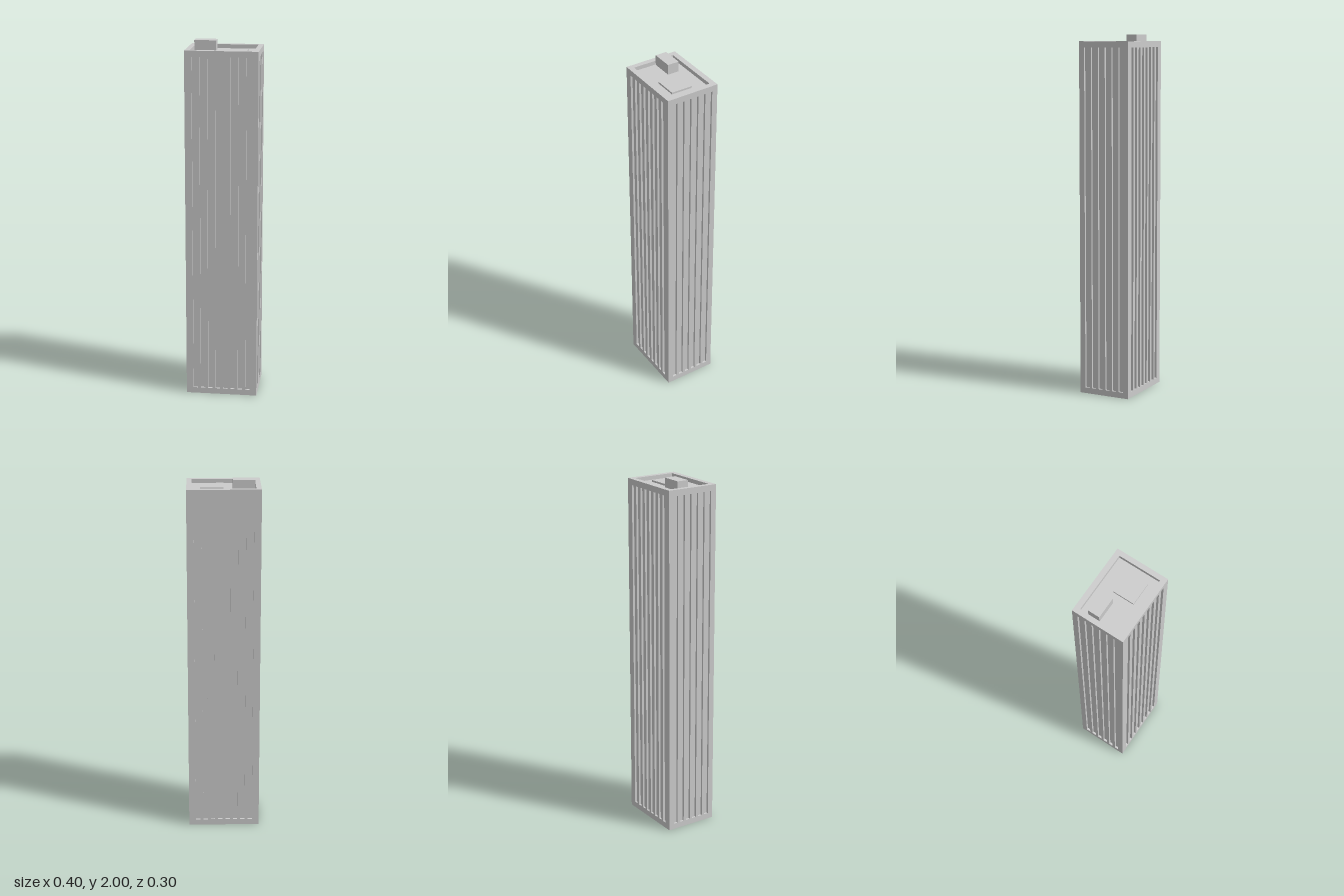
import * as THREE from 'three';

const W = 0.4, D = 0.3;            // footprint
const TOP = 1.965, ROOF = 1.943;   // parapet top and sunken roof level
const DEPTH = 0.012;               // groove depth
const PITCH = 0.0424, GROOVE = 0.0255, MARGIN_Y = 0.033;

const material = new THREE.MeshStandardMaterial({ color: 0xcccccc, flatShading: true });

function rect(target, x0, y0, x1, y1) {
  target.moveTo(x0, y0);
  target.lineTo(x1, y0);
  target.lineTo(x1, y1);
  target.lineTo(x0, y1);
  target.closePath();
  return target;
}

function add(group, name, geometry, x = 0, y = 0, z = 0) {
  const mesh = new THREE.Mesh(geometry, material);
  mesh.name = name;
  mesh.position.set(x, y, z);
  group.add(mesh);
  return mesh;
}

// Box given by its extents
function block(group, name, x0, x1, y0, y1, z0, z1) {
  return add(group, name, new THREE.BoxGeometry(x1 - x0, y1 - y0, z1 - z0),
    (x0 + x1) / 2, (y0 + y1) / 2, (z0 + z1) / 2);
}

// Facade slab pierced by a row of tall slots; its outer face is at z = DEPTH
function facade(width, slots) {
  const shape = rect(new THREE.Shape(), -width / 2, 0, width / 2, ROOF);
  for (let i = 0; i < slots; i++) {
    const x = (i - (slots - 1) / 2) * PITCH;
    shape.holes.push(rect(new THREE.Path(),
      x - GROOVE / 2, MARGIN_Y, x + GROOVE / 2, TOP - MARGIN_Y));
  }
  return new THREE.ExtrudeGeometry(shape, { depth: DEPTH, bevelEnabled: false });
}

export function createModel() {
  const tower = new THREE.Group();
  tower.name = 'tower';

  // Core: forms the groove floors, the roof deck and the underside
  const cx = W / 2 - DEPTH, cz = D / 2 - DEPTH;
  block(tower, 'core', -cx, cx, 0, ROOF, -cz, cz);

  // Grooved walls: eight slots on the wide sides, six on the narrow ones
  const wide = facade(W, 8);
  const narrow = facade(D - 2 * DEPTH, 6);
  add(tower, 'frontWall', wide, 0, 0, cz);
  add(tower, 'backWall', wide, 0, 0, -cz).rotation.y = Math.PI;
  add(tower, 'leftWall', narrow, cx, 0, 0).rotation.y = Math.PI / 2;
  add(tower, 'rightWall', narrow, -cx, 0, 0).rotation.y = -Math.PI / 2;

  // Parapet rim around the sunken roof
  const rim = rect(new THREE.Shape(), -W / 2, -D / 2, W / 2, D / 2);
  rim.holes.push(rect(new THREE.Path(), -0.172, -0.12, 0.172, 0.12));
  const rimGeometry = new THREE.ExtrudeGeometry(rim, { depth: TOP - ROOF, bevelEnabled: false });
  rimGeometry.rotateX(-Math.PI / 2);
  add(tower, 'parapet', rimGeometry, 0, ROOF, 0);

  // Rooftop structures
  block(tower, 'roofHouse', -0.168, -0.048, ROOF, 2, -0.075, -0.01);
  block(tower, 'roofPlatform', 0, 0.127, ROOF, 1.953, -0.041, 0.079);

  return tower;
}
